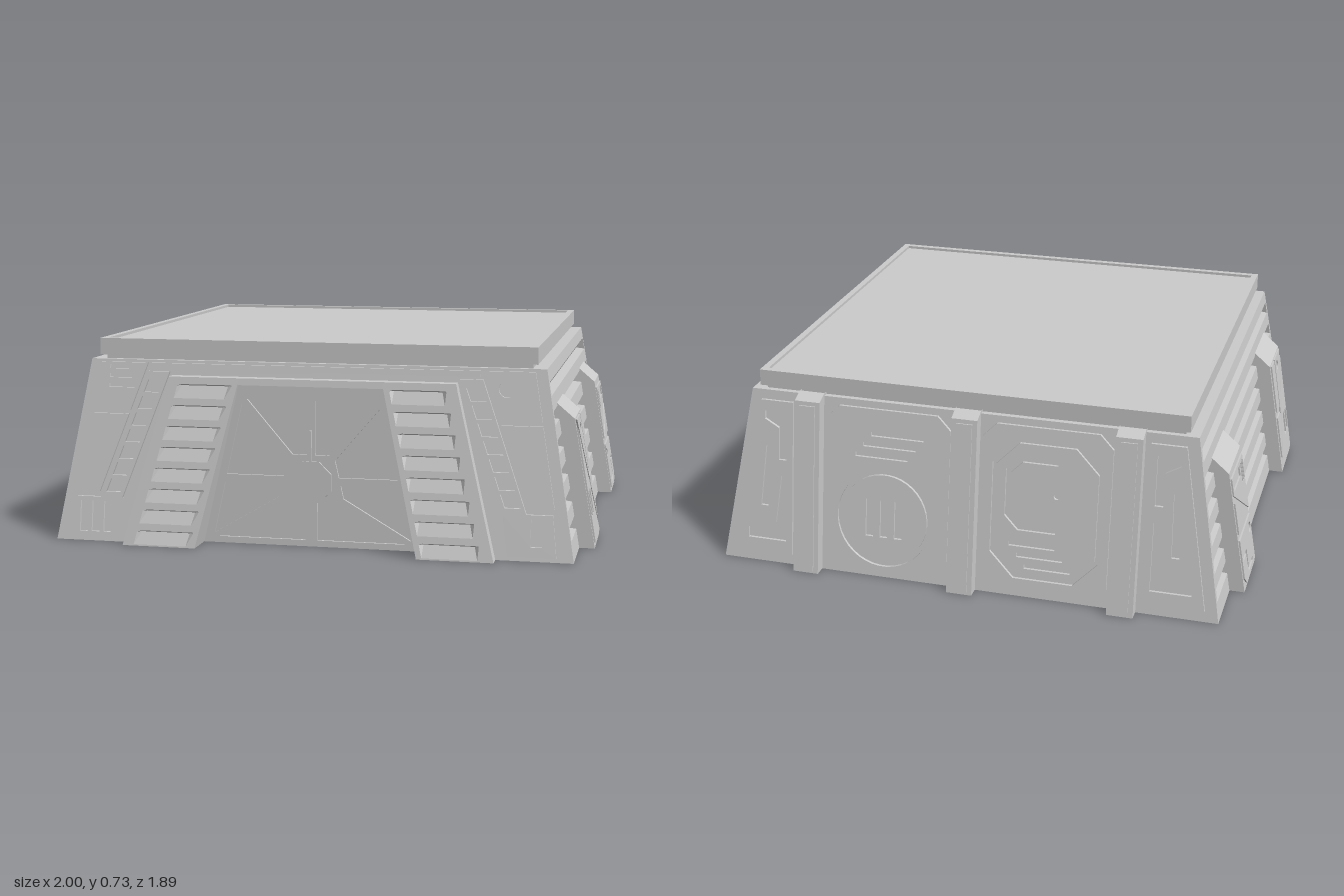
import * as THREE from 'three';

const grey = new THREE.MeshStandardMaterial({ color: 0xcacaca, side: THREE.DoubleSide });
grey.name = 'concrete grey';

// Each wall is drawn in (u across, y up, d outward) and leaned inward by a shear
const TOP = 0.655;
const halfX = y => 0.94 - 0.17 * y, halfZ = y => 0.895 - 0.16 * y;
function wall(angle, base, slope) {
  const shear = new THREE.Matrix4().set(1, 0, 0, 0, 0, 1, 0, 0, 0, -slope, 1, base, 0, 0, 0, 1);
  return new THREE.Matrix4().makeRotationY(angle).multiply(shear);
}
const FRONT = wall(0, 0.895, 0.16), BACK = wall(Math.PI, 0.895, 0.16);
const RIGHT = wall(Math.PI / 2, 0.94, 0.17), LEFT = wall(-Math.PI / 2, 0.94, 0.17);
const DOOR = wall(0, 0.825, 0);

const rect = (a, b, c, d) => [[a, b], [c, b], [c, d], [a, d]];
const ngon = (x, y, r, n = 24) => Array.from({ length: n }, (_, i) => {
  const a = (i + 0.5) / n * Math.PI * 2;
  return [x + r * Math.cos(a), y + r * Math.sin(a)];
});
const cut = (a, b, c, d, k) => [[a + k, b], [c - k, b], [c, b + k], [c, d - k], [c - k, d], [a + k, d], [a, d - k], [a, b + k]];

function add(parent, name, geo) {
  const mesh = new THREE.Mesh(geo, grey);
  mesh.name = name;
  parent.add(mesh);
}

// Flat plate with cut-outs, standing proud on both sides of the thin skin; m = -1 mirrors it
function plate(parent, name, face, pts, holes = [], d = -0.012, t = 0.022, m = 1) {
  const vec = list => list.map(([u, y]) => new THREE.Vector2(u * m, y));
  const shape = new THREE.Shape(vec(pts));
  shape.holes = holes.map(h => new THREE.Path(vec(h)));
  const geo = new THREE.ExtrudeGeometry(shape, { depth: t, bevelEnabled: false });
  add(parent, name, geo.translate(0, 0, d).applyMatrix4(face));
}

// Open skin through rows of [u, y, d] points, flat shaded
function loft(parent, name, face, rows, m = 1) {
  if (m < 0) rows = rows.map(r => r.map(([u, y, d]) => [-u, y, d]).reverse());
  const pos = [];
  for (let i = 0; i + 1 < rows.length; i++) for (let j = 0; j + 1 < rows[i].length; j++) {
    const a = rows[i][j], b = rows[i][j + 1], c = rows[i + 1][j + 1], e = rows[i + 1][j];
    pos.push(...a, ...b, ...c, ...a, ...c, ...e);
  }
  const geo = new THREE.BufferGeometry();
  geo.setAttribute('position', new THREE.Float32BufferAttribute(pos, 3));
  geo.applyMatrix4(face);
  geo.computeVertexNormals();
  add(parent, name, geo);
}

// Grooved profile as [y, depth]: goes in over a height of "rise", comes out over "fall"
function grooves(y0, step, n, rise, fall, depth, from, to) {
  const p = [[from, 0]];
  for (let k = 0; k < n; k++) {
    const y = y0 + k * step;
    p.push([y - rise, 0], [y, -depth], [y + fall, 0]);
  }
  return [...p, [to, 0]];
}

// Buttress: tapered box, bevelled at the top
const buttress = (u, w, top, shoulder, d) => [[0, d], [shoulder, d], [top, 0]].map(([y, e]) =>
  [[u - w, y, -0.035], [u - w, y, e], [u + w, y, e], [u + w, y, -0.035]]);

function sideWall(face, m) {
  const g = new THREE.Group();
  g.name = 'sideWall';
  const strip = (name, prof, lo, hi, ml, mr) => loft(g, name, face, prof.map(([y, l]) => {
    const a = lo(y), b = hi(y);
    return [[a, y, 0], [a + ml, y, 0], [a + ml, y, l], [b - mr, y, l], [b - mr, y, 0], [b, y, 0]];
  }), m);
  const low = grooves(0.073, 0.0985, 5, 0.004, 0.043, 0.035, 0, 0.52);
  const high = grooves(0.566, 0.1, 1, 0.004, 0.043, 0.035, 0.52, TOP);
  const right = y => halfZ(y), left = y => -halfZ(y);
  strip('frontRibs', low, left, () => -0.65, 0.02, 0);
  strip('middleRibs', low, () => -0.4, () => 0.4, 0, 0);
  strip('rearRibs', low, () => 0.65, right, 0, 0.02);
  strip('upperRib', high, left, right, 0.02, 0.02);
  for (const u of [-0.525, 0.525]) loft(g, 'sideButtress', face, buttress(u, 0.125, 0.52, 0.465, 0.055), m);
  const panel = (name, pts, holes) => plate(g, name, face, pts, holes, 0.045, 0.016, m);
  // front buttress covers
  panel('diagonalCover', [[-0.635, 0.46], [-0.5, 0.46], [-0.5, 0.225]], [ngon(-0.548, 0.42, 0.02)]);
  panel('hatchCover', rect(-0.487, 0.26, -0.416, 0.46));
  panel('lowerCover', [[-0.64, 0.43], [-0.64, 0.02], [-0.415, 0.02]],
    [rect(-0.628, 0.11, -0.593, 0.2), rect(-0.577, 0.11, -0.54, 0.2)]);
  panel('sideCover', [[-0.485, 0.19], [-0.415, 0.06], [-0.415, 0.235], [-0.485, 0.235]]);
  // rear buttress covers
  panel('slottedCover', [[0.41, 0.44], [0.41, 0.225], [0.64, 0.375], [0.64, 0.44]],
    [...[0.418, 0.436, 0.454].map(u => rect(u, 0.35, u + 0.012, 0.425)), rect(0.485, 0.385, 0.625, 0.425)]);
  panel('wedgeCover', [[0.46, 0.225], [0.64, 0.225], [0.64, 0.345]]);
  panel('hookCover', [[0.41, 0.2], [0.41, 0.02], [0.61, 0.02], [0.64, 0.05], [0.64, 0.2]], [ngon(0.442, 0.16, 0.02),
    [[0.46, 0.035], [0.545, 0.035], [0.56, 0.05], [0.56, 0.11], [0.625, 0.11], [0.625, 0.125], [0.545, 0.125], [0.545, 0.05], [0.46, 0.05]]]);
  return g;
}

function frontWall() {
  const g = new THREE.Group();
  g.name = 'frontWall';
  plate(g, 'frontSkin', FRONT, [[-0.94, 0], [-0.67, 0], [-0.52, 0.6], [0.52, 0.6], [0.67, 0], [0.94, 0],
    [halfX(TOP), TOP], [-halfX(TOP), TOP]], [], -0.004, 0.004);
  plate(g, 'headerBar', FRONT, rect(-0.6, 0.625, 0.6, 0.645));
  plate(g, 'lintel', FRONT, [[-0.526, 0.578], [0.526, 0.578], [0.52, 0.602], [-0.52, 0.602]], [], -0.01, 0.053);
  plate(g, 'doorHead', DOOR, rect(-0.275, 0.545, 0.275, 0.585), [], -0.012, 0.02);

  // shingled louvres: long upward slopes with a short step between them
  const prof = grooves(0.05, 0.0745, 8, 0.045, 0.005, 0.011, 0, 0.58);
  const c = y => 0.79 - 0.36 * y, out = y => halfX(y) - 0.04;
  for (const m of [-1, 1]) {
    // louvred wings with a deep reveal down to the upright door
    loft(g, 'louvredWing', FRONT, [...prof, [0.6, 0]].map(([y, l]) => {
      const o = 0.67 - 0.25 * y, i = 0.4 - 0.235 * y, e = 0.05 - 0.01 * y;
      return [[i, y, 0.16 * y - 0.08], [i, y, e], [i + 0.02, y, e], [i + 0.035, y, e + l],
        [o - 0.055, y, e + l], [o - 0.04, y, e], [o, y, e], [o, y, -0.004]];
    }), m);
    // ladder strip
    const band = (lo, hi, w) => [[c(lo) - w, lo], [c(lo) + w, lo], [c(hi) + w, hi], [c(hi) - w, hi]];
    plate(g, 'ladderStrip', FRONT, band(0.16, 0.615, 0.041),
      Array.from({ length: 7 }, (_, k) => band(0.18 + k * 0.06, 0.226 + k * 0.06, 0.028)), -0.012, 0.024, m);
    // corner panels
    const panel = (name, lo, hi, holes) => plate(g, name, FRONT,
      [[c(lo) + 0.053, lo], [out(lo), lo], [out(hi), hi], [c(hi) + 0.053, hi]], holes, -0.012, 0.022, m);
    panel('upperPanel', 0.475, 0.645, m > 0 ? [ngon(0.695, 0.585, 0.03)]
      : [0.555, 0.59, 0.622].map(y => rect(0.66, y, 0.755, y + 0.014)));
    panel('middlePanel', 0.18, 0.46, []);
    plate(g, 'lowerPanel', FRONT, [[0.71, 0.015], [0.88, 0.015], [0.865, 0.16], [0.69, 0.16]],
      m > 0 ? [rect(0.79, 0.05, 0.83, 0.145)] : [0.73, 0.775, 0.82].map(u => rect(u, 0.035, u + 0.03, 0.145)), -0.012, 0.022, m);
  }

  // upright door with eight sunken panels around an octagonal hub
  const C = [0, 0.235], mix = (p, q, t) => [p[0] + (q[0] - p[0]) * t, p[1] + (q[1] - p[1]) * t];
  const rim = [[0, 0.01], [0.385, 0.01], [0.335, 0.235], [0.265, 0.545], [0, 0.545], [-0.265, 0.545], [-0.335, 0.235], [-0.385, 0.01]];
  const sunk = rim.map((A, i) => {
    const B = rim[(i + 1) % 8], G = [(A[0] + B[0] + C[0]) / 3, (A[1] + B[1] + C[1]) / 3];
    const [a, b, k] = [A, B, C].map(p => mix(p, G, 0.17));
    return [a, b, mix(k, b, 0.24), mix(k, a, 0.24)];
  });
  const leaf = [[-0.4, 0], [0.4, 0], [0.27, 0.555], [-0.27, 0.555]];
  plate(g, 'doorPanels', DOOR, leaf, [], -0.011, 0.004);
  plate(g, 'doorFrame', DOOR, leaf, sunk, -0.018, 0.02);
  plate(g, 'doorHub', DOOR, ngon(...C, 0.08, 8), [], -0.026, 0.036);
  plate(g, 'doorHandle', DOOR, rect(-0.004, 0.26, 0.004, 0.42), [], -0.005, 0.02);
  return g;
}

function backWall() {
  const g = new THREE.Group();
  g.name = 'backWall';
  const t = halfX(TOP);
  plate(g, 'backSkin', BACK, [[-0.94, 0], [0.94, 0], [t, TOP], [-t, TOP]], [], -0.004, 0.004);
  for (const u of [-0.595, 0, 0.595]) {
    loft(g, 'backButtress', BACK, buttress(u, 0.048, 0.665, 0.645, 0.045));
    plate(g, 'buttressFace', BACK, rect(u - 0.03, 0.01, u + 0.03, 0.63), [], 0.044, 0.006);
  }
  // panel with the round hatch
  plate(g, 'roundHatchPanel', BACK, cut(-0.535, 0.02, -0.06, 0.63, 0.05),
    [ngon(-0.305, 0.225, 0.18, 40), ...[0.45, 0.49, 0.53].map((y, k) => rect(-0.42 + k * 0.03, y, -0.22 + k * 0.03, y + 0.016))]);
  plate(g, 'roundHatch', BACK, ngon(-0.305, 0.225, 0.165, 40),
    [-0.36, -0.305, -0.25].map(u => rect(u - 0.015, 0.155, u + 0.015, 0.295)));
  // panel with the eight-sided hatch
  plate(g, 'angledHatchPanel', BACK, cut(0.06, 0.02, 0.535, 0.63, 0.05), [cut(0.1, 0.07, 0.5, 0.58, 0.09)]);
  plate(g, 'angledHatch', BACK, cut(0.112, 0.082, 0.488, 0.568, 0.085), [
    [[0.15, 0.3], [0.2, 0.25], [0.34, 0.25], [0.34, 0.27], [0.21, 0.27], [0.17, 0.31], [0.17, 0.46], [0.21, 0.5], [0.34, 0.5], [0.34, 0.52], [0.2, 0.52], [0.15, 0.47]],
    ngon(0.34, 0.39, 0.012, 12), rect(0.17, 0.19, 0.34, 0.206), rect(0.2, 0.15, 0.37, 0.166), rect(0.23, 0.11, 0.4, 0.126)]);
  // corner panels
  for (const m of [-1, 1]) plate(g, 'cornerPanel', BACK, [[0.665, 0.04], [0.89, 0.04], [0.79, 0.62], [0.665, 0.62]], [
    [[0.69, 0.09], [0.84, 0.09], [0.84, 0.13], [0.73, 0.16], [0.71, 0.34], [0.69, 0.34]],
    [[0.69, 0.4], [0.72, 0.4], [0.72, 0.52], [0.775, 0.55], [0.775, 0.58], [0.69, 0.58]],
    [[0.76, 0.22], [0.79, 0.22], [0.77, 0.45], [0.755, 0.45]]], -0.012, 0.022, m);
  return g;
}

function roof() {
  const g = new THREE.Group();
  g.name = 'roof';
  const slab = (name, x, z, y0, y1) => add(g, name,
    new THREE.BoxGeometry(2 * x, y1 - y0, 2 * z).translate(0, (y0 + y1) / 2, 0));
  slab('eave', halfX(TOP), halfZ(TOP), TOP - 0.005, TOP);
  slab('neck', 0.778, 0.77, TOP, 0.67);
  slab('roofSlab', 0.797, 0.788, 0.67, 0.72);
  // raised rim around the flat top
  const flat = new THREE.Matrix4().makeRotationX(-Math.PI / 2);
  plate(g, 'roofRim', flat, rect(-0.797, -0.788, 0.797, 0.788), [rect(-0.772, -0.763, 0.772, 0.763)], 0.72, 0.01);
  return g;
}

export function createModel() {
  const model = new THREE.Group();
  model.name = 'bunker';
  model.add(frontWall(), backWall(), sideWall(RIGHT, 1), sideWall(LEFT, -1), roof());
  return model;
}
